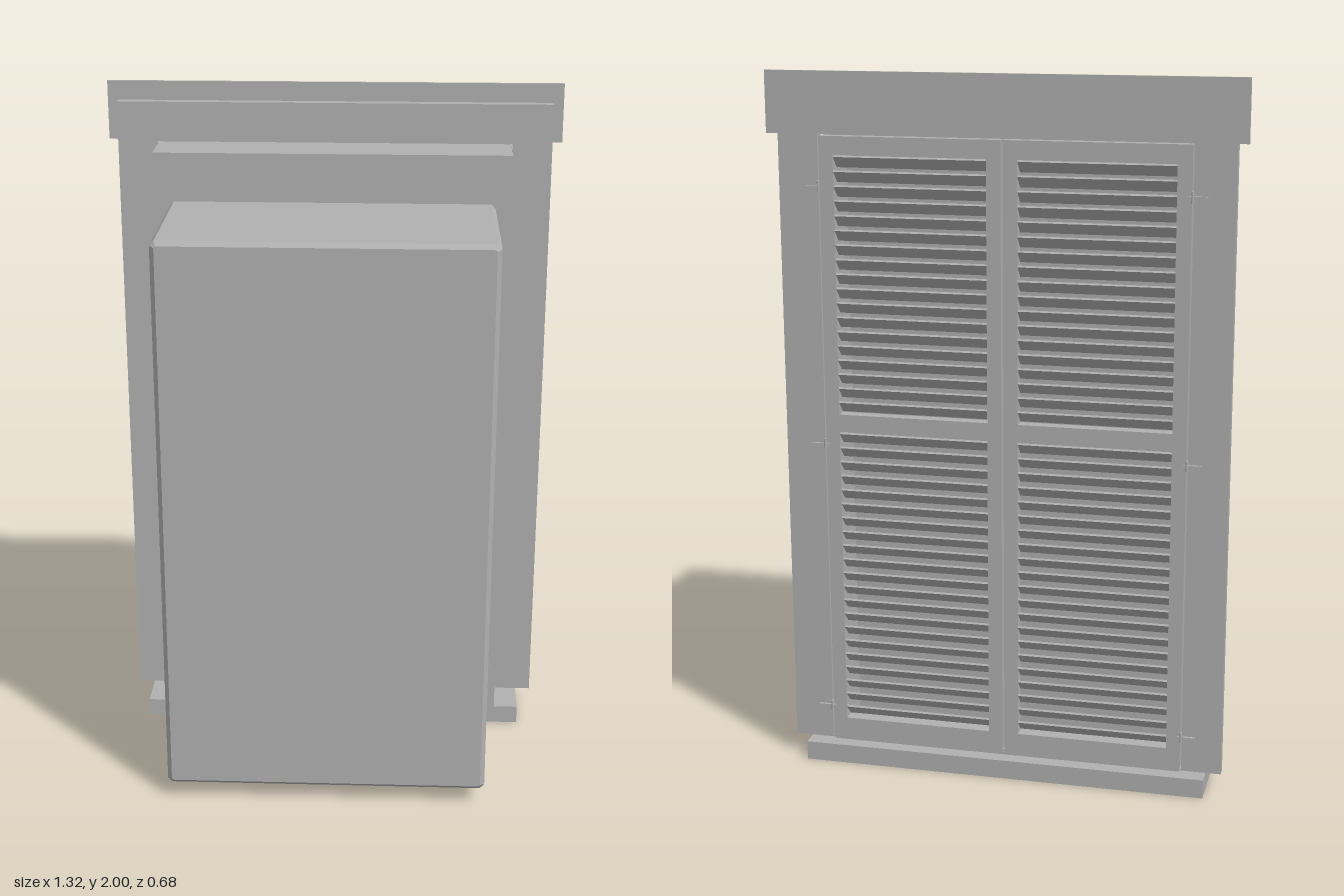
import * as THREE from 'three';

const grey = new THREE.MeshStandardMaterial({ color: 0xb0b0b0 });
grey.name = 'plain grey';

export function createModel() {
  const model = new THREE.Group();
  model.name = 'shutteredWindowUnit';

  const add = (parent, name, geometry) => {
    const mesh = new THREE.Mesh(geometry, grey);
    mesh.name = name;
    parent.add(mesh);
    return mesh;
  };

  // box given by its limits on each axis
  const box = (parent, name, x0, x1, y0, y1, z0, z1) => {
    const mesh = add(parent, name, new THREE.BoxGeometry(x1 - x0, y1 - y0, z1 - z0));
    mesh.position.set((x0 + x1) / 2, (y0 + y1) / 2, (z0 + z1) / 2);
    return mesh;
  };

  // rectangular frame with an opening, running from z0 to z1
  const ring = (name, w, y0, y1, holeW, holeY0, holeY1, z0, z1) => {
    const rect = (C, a, b, c) => new C([[-a, b], [a, b], [a, c], [-a, c]].map(p => new THREE.Vector2(...p)));
    const shape = rect(THREE.Shape, w, y0, y1);
    shape.holes.push(rect(THREE.Path, holeW, holeY0, holeY1));
    const mesh = add(model, name, new THREE.ExtrudeGeometry(shape, { depth: z1 - z0, bevelEnabled: false }));
    mesh.position.z = z0;
  };

  // large front box with chamfered edges
  const c = 0.013, w = 0.465, y0 = 0.05, y1 = 1.69;
  const outline = new THREE.Shape([
    [-w + c, y0], [w - c, y0], [w, y0 + c], [w, y1 - c],
    [w - c, y1], [-w + c, y1], [-w, y1 - c], [-w, y0 + c],
  ].map(p => new THREE.Vector2(...p)));
  const front = add(model, 'frontBox', new THREE.ExtrudeGeometry(outline, {
    depth: 0.44, bevelEnabled: true, bevelThickness: c, bevelSize: c, bevelOffset: -c, bevelSegments: 1,
  }));
  front.position.z = 0.34 - c - 0.44;

  // stepped middle box, hollow behind the shutters
  ring('middleBoxWalls', 0.51, 0.06, 1.83, 0.49, 0.08, 1.81, -0.27, -0.13);
  box(model, 'middleBoxFront', -0.51, 0.51, 0.06, 1.83, -0.13, -0.112);

  // casing around the shutters
  ring('casing', 0.63, 0.06, 1.945, 0.517, 0.065, 1.83, -0.3, -0.27);
  box(model, 'headBoard', -0.66, 0.66, 1.83, 2.0, -0.309, -0.3);

  // sill with a drip groove underneath, drawn in section and run across
  const section = new THREE.Shape([
    [0.155, 0], [0.312, 0], [0.312, 0.01], [0.324, 0.01], [0.324, 0],
    [0.34, 0], [0.34, 0.055], [0.155, 0.055],
  ].map(p => new THREE.Vector2(...p)));
  const sillGeometry = new THREE.ExtrudeGeometry(section, { depth: 1.17, bevelEnabled: false });
  sillGeometry.rotateY(Math.PI / 2);
  add(model, 'sill', sillGeometry).position.x = -0.585;
  box(model, 'sillUpstand', -0.51, 0.51, 0.05, 0.07, -0.298, -0.25);

  // pair of louvred shutters
  const zBack = -0.302, zFront = -0.268, rail = 0.04;
  const slatGeometry = new THREE.BoxGeometry(0.44, 0.006, 0.044);
  slatGeometry.rotateX(Math.PI / 4);
  for (const side of [1, -1]) {
    const shutter = new THREE.Group();
    shutter.name = side > 0 ? 'leftShutter' : 'rightShutter';
    model.add(shutter);
    const span = (name, a, b, low, high) =>
      box(shutter, name, Math.min(a * side, b * side), Math.max(a * side, b * side), low, high, zBack, zFront);
    span('innerStile', 0.003, 0.003 + rail, 0.065, 1.825);
    span('outerStile', 0.513 - rail, 0.513, 0.065, 1.825);
    span('bottomRail', 0.043, 0.473, 0.065, 0.125);
    span('middleRail', 0.043, 0.473, 0.995, 1.045);
    span('topRail', 0.043, 0.473, 1.775, 1.825);

    // slats, outer edge raised
    for (const [low, high] of [[0.125, 0.995], [1.045, 1.775]]) {
      const count = Math.round((high - low) / 0.041);
      for (let i = 0; i < count; i++) {
        const slat = add(shutter, 'slat', slatGeometry);
        slat.position.set(side * 0.258, low + (high - low) * (i + 0.5) / count, -0.283);
      }
    }

    // hinges with pins
    for (const y of [0.16, 0.955, 1.685]) {
      const strap = box(shutter, 'hingeStrap', -0.025, 0.025, y - 0.005, y + 0.005, -0.308, -0.299);
      strap.position.x = side * 0.53;
      const pin = add(shutter, 'hingePin', new THREE.CylinderGeometry(0.004, 0.004, 0.03, 8));
      pin.position.set(side * 0.515, y + 0.003, -0.306);
    }
  }

  return model;
}
